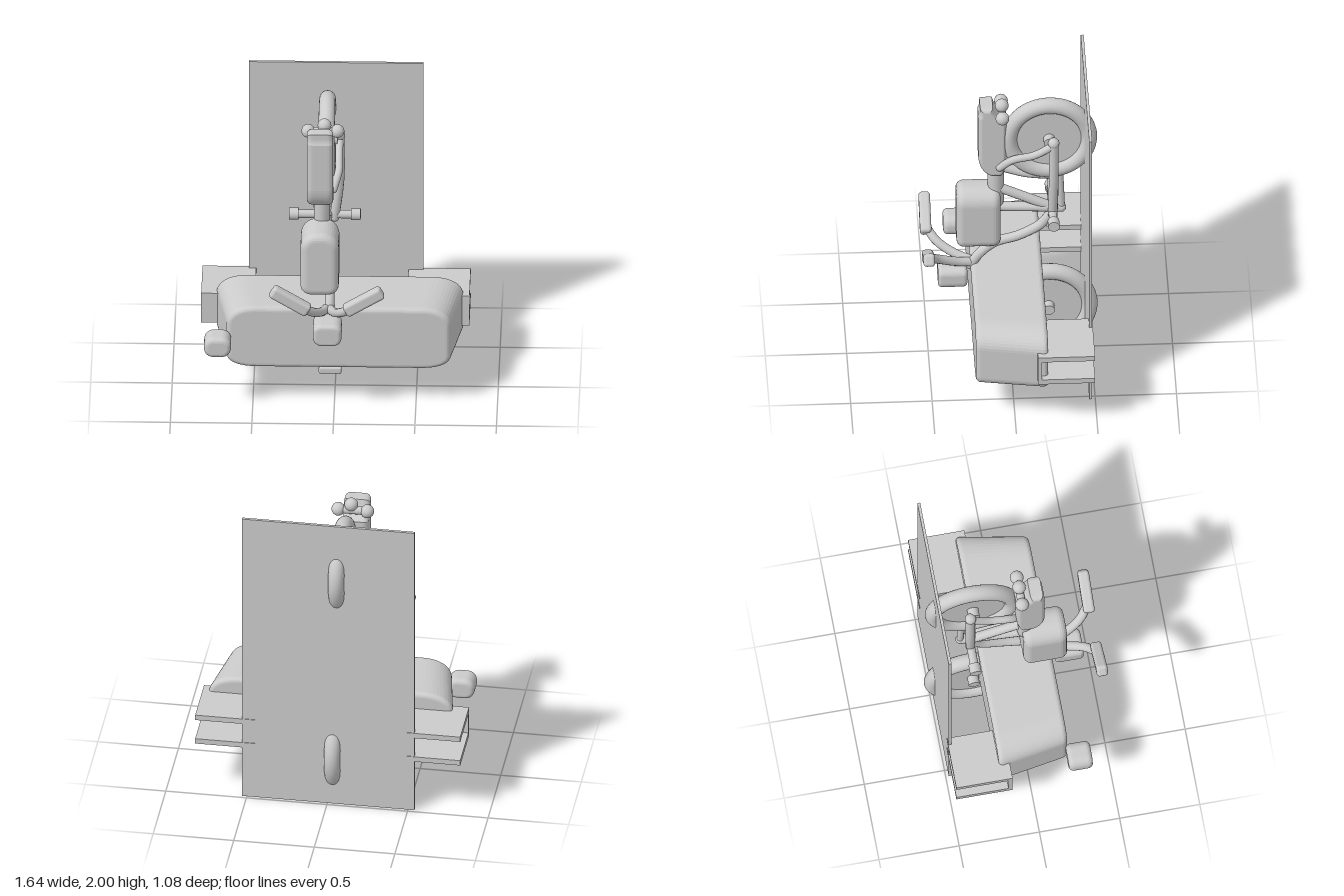
import * as THREE from 'three';
import { RoundedBoxGeometry } from 'three/addons/geometries/RoundedBoxGeometry.js';

const material = new THREE.MeshStandardMaterial({ color: 0xcccccc, side: THREE.DoubleSide });
const BIKE_X = -0.055;

export function createModel() {
  const model = new THREE.Group();

  const add = (name, geometry, x = 0, y = 0, z = 0, parent = model) => {
    const mesh = new THREE.Mesh(geometry, material);
    mesh.name = name;
    mesh.position.set(x, y, z);
    parent.add(mesh);
    return mesh;
  };
  const tube = (name, points, radius, parent = model) => {
    const curve = new THREE.CatmullRomCurve3(points.map(p => new THREE.Vector3(...p)));
    const mesh = add(name, new THREE.TubeGeometry(curve, 24, radius, 12), 0, 0, 0, parent);
    for (const p of [points[0], points[points.length - 1]]) {
      add(name + 'End', new THREE.SphereGeometry(radius, 12, 8), ...p, parent);
    }
    return mesh;
  };
  // Upright slab with rounded outline and softened front and back edges, centred
  const slab = (w, h, d, rTop, rBottom, bevel) => {
    const a = w / 2 - bevel, b = h / 2 - bevel;
    const s = new THREE.Shape();
    s.moveTo(-a + rBottom[0], -b);
    s.lineTo(a - rBottom[0], -b);
    s.bezierCurveTo(a - rBottom[0] * 0.4, -b, a, -b + rBottom[1] * 0.4, a, -b + rBottom[1]);
    s.lineTo(a, b - rTop[1]);
    s.bezierCurveTo(a, b - rTop[1] * 0.4, a - rTop[0] * 0.4, b, a - rTop[0], b);
    s.lineTo(-a + rTop[0], b);
    s.bezierCurveTo(-a + rTop[0] * 0.4, b, -a, b - rTop[1] * 0.4, -a, b - rTop[1]);
    s.lineTo(-a, -b + rBottom[1]);
    s.bezierCurveTo(-a, -b + rBottom[1] * 0.4, -a + rBottom[0] * 0.4, -b, -a + rBottom[0], -b);
    return new THREE.ExtrudeGeometry(s, {
      depth: d - 2 * bevel, bevelSize: bevel, bevelThickness: bevel, bevelSegments: 5, curveSegments: 12,
    }).translate(0, 0, -d / 2 + bevel);
  };

  // Wall panel
  add('wallPanel', new THREE.BoxGeometry(1.07, 2, 0.018), -0.005, 1, -0.472);

  // Wide storage case, narrower towards its front
  const caseGeometry = slab(1.52, 0.42, 0.44, [0.17, 0.09], [0.17, 0.06], 0.03);
  const p = caseGeometry.attributes.position;
  for (let i = 0; i < p.count; i++) p.setX(i, p.getX(i) * (0.95 - 0.23 * p.getZ(i)));
  caseGeometry.computeVertexNormals();
  add('storageCase', caseGeometry, 0.025, 0.455, 0.02);

  // C-shaped brackets between the panel and the case
  for (const side of [-1, 1]) {
    const bracket = new THREE.Group();
    bracket.name = side < 0 ? 'rightBracket' : 'leftBracket';
    const x = side < 0 ? -0.66 : 0.63;
    const w = side < 0 ? 0.33 : 0.38;
    for (const y of [0.37, 0.54]) add('shelf', new THREE.BoxGeometry(w, 0.035, 0.35), x, y, -0.31, bracket);
    add('frontPlate', new THREE.BoxGeometry(w, 0.205, 0.025), x, 0.455, -0.147, bracket);
    model.add(bracket);
  }

  // Wheels, each a tyre with a thin disc and a hub
  const wheel = (name, x, y, z, radius) => {
    const group = new THREE.Group();
    group.name = name;
    group.position.set(x, y, z);
    group.rotation.y = Math.PI / 2;
    add('tyre', new THREE.TorusGeometry(radius - 0.05, 0.05, 20, 64), 0, 0, 0, group);
    add('disc', new THREE.CylinderGeometry(radius - 0.09, radius - 0.09, 0.025, 48), 0, 0, 0, group).rotation.x = Math.PI / 2;
    add('hub', new THREE.CylinderGeometry(0.035, 0.035, 0.13, 20), 0, 0, 0, group).rotation.x = Math.PI / 2;
    model.add(group);
  };
  wheel('upperWheel', BIKE_X, 1.59, -0.245, 0.295);
  wheel('lowerWheel', -0.03, 0.315, -0.24, 0.302);
  add('lowerClamp', new RoundedBoxGeometry(0.14, 0.045, 0.1, 3, 0.012), -0.03, 0.145, 0.04);

  // Long padded cover in front of the upper wheel
  const cover = new THREE.Shape();
  cover.moveTo(0.155, 1.82);
  cover.quadraticCurveTo(0.155, 1.79, 0.165, 1.77);
  cover.lineTo(0.165, 1.46);
  cover.quadraticCurveTo(0.16, 1.38, 0.11, 1.35);
  cover.lineTo(0.06, 1.35);
  cover.quadraticCurveTo(0.04, 1.4, 0.04, 1.48);
  cover.lineTo(0.04, 1.72);
  cover.quadraticCurveTo(0.1, 1.75, 0.12, 1.82);
  const coverGeometry = new THREE.ExtrudeGeometry(cover, {
    depth: 0.09, bevelSize: 0.025, bevelThickness: 0.035, bevelSegments: 5,
  }).translate(0, 0, -0.045).rotateY(-Math.PI / 2);
  add('paddedCover', coverGeometry, -0.09, 0, 0);
  for (const [x, y] of [[-0.165, 1.8], [-0.065, 1.84], [0.015, 1.8]]) {
    add('knob', new THREE.SphereGeometry(0.042, 20, 14), x, y, 0.045);
  }
  tube('knobBar', [[-0.165, 1.8, 0.045], [0.015, 1.8, 0.045]], 0.025);

  // Rounded bag
  add('bag', slab(0.235, 0.425, 0.27, [0.065, 0.06], [0.025, 0.02], 0.045), -0.09, 1.003, 0.19);

  // Frame: paired stays beside the wheel
  for (const side of [-1, 1]) {
    const x = BIKE_X + side * 0.075;
    const inner = BIKE_X + side * 0.045;
    tube('uprightStay', [[x, 1.6, -0.27], [x, 1.3, -0.27], [inner, 1.03, -0.265]], 0.03);
    tube('seatStay', [[x, 1.58, -0.27], [x, 1.51, -0.15], [x, 1.48, -0.02], [inner, 1.4, 0.06]], 0.024);
    add('axleCap', new THREE.SphereGeometry(0.035, 16, 12), x, 1.6, -0.27);
  }
  tube('seatTube', [[-0.08, 1.5, 0.07], [-0.08, 1.33, 0.08], [-0.08, 1.1, 0.08]], 0.05);
  tube('upperFrameTube', [[-0.07, 1.36, 0.04], [-0.06, 1.32, -0.1], [-0.06, 1.3, -0.24]], 0.03);
  tube('diagonalFrameTube', [[-0.07, 1.2, 0.06], [-0.06, 1.05, -0.26]], 0.03);
  tube('straightFrameTube', [[-0.07, 1.055, 0.05], [-0.05, 1.05, -0.32]], 0.03);
  tube('rearFrameTube', [[-0.05, 1.32, -0.31], [-0.05, 1.06, -0.32]], 0.022);
  tube('downTube', [[-0.05, 1.0, -0.25], [-0.05, 0.92, -0.19], [-0.04, 0.85, -0.06],
    [-0.04, 0.8, 0.09], [-0.03, 0.73, 0.18], [-0.03, 0.64, 0.24]], 0.03);

  // Crank axle with ring ends
  tube('crankAxle', [[-0.26, 1.05, -0.265], [0.12, 1.05, -0.265]], 0.026);
  for (const x of [-0.26, 0.12]) {
    add('crankEnd', new THREE.CylinderGeometry(0.036, 0.036, 0.06, 20), x, 1.05, -0.265).rotation.z = Math.PI / 2;
  }

  // Handlebar arms and grips
  for (const side of [-1, 1]) {
    const x = d => -0.04 + side * d;
    tube('handlebarArm', [[x(0.01), 0.66, 0.23], [x(0.04), 0.69, 0.33], [x(0.09), 0.75, 0.44], [x(0.15), 0.81, 0.5]], 0.028);
    const grip = add('grip', new RoundedBoxGeometry(0.265, 0.08, 0.07, 4, 0.02), x(0.225), 0.865, 0.507);
    grip.rotation.z = side * 0.55;
  }

  // Lamp blocks in front of the case
  add('frontLamp', slab(0.175, 0.145, 0.18, [0.03, 0.02], [0.03, 0.03], 0.025), -0.04, 0.575, 0.35);
  add('sideLamp', slab(0.165, 0.135, 0.15, [0.03, 0.03], [0.03, 0.03], 0.03), -0.715, 0.447, 0.3);

  return model;
}
